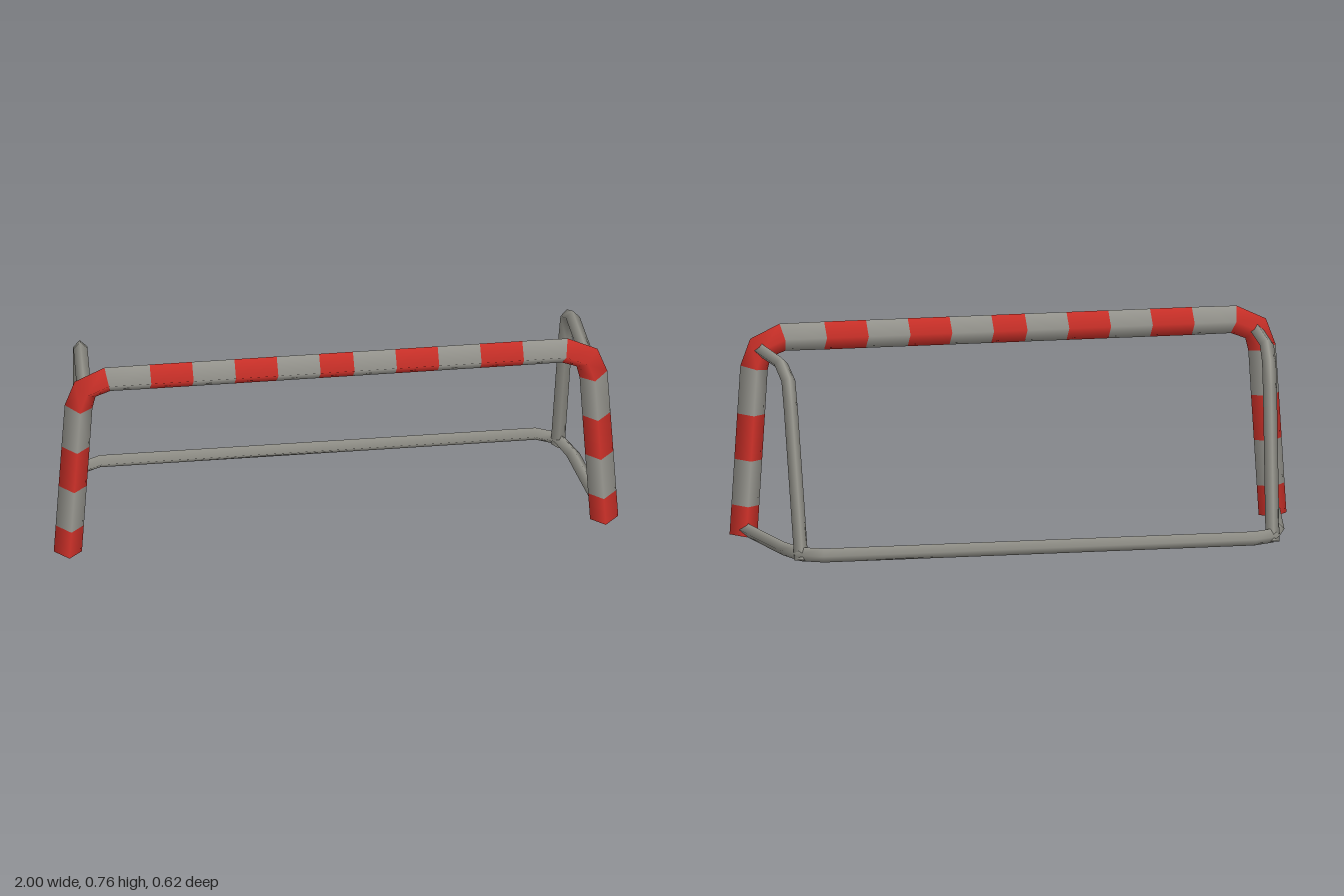
import * as THREE from 'three';

const SIDES = 4;

// Sweeps a smooth-shaded diamond section along a path; slots[i] is the material index of segment i.
function sweep(path, radius, ref, slots) {
  const pos = [], nor = [], idx = [];
  const geo = new THREE.BufferGeometry();
  const rings = path.map((p, i) => {
    const t = new THREE.Vector3();
    if (i > 0) t.add(p.clone().sub(path[i - 1]).normalize());
    if (i < path.length - 1) t.add(path[i + 1].clone().sub(p).normalize());
    t.normalize();
    const u = ref.clone().addScaledVector(t, -ref.dot(t)).normalize();
    const v = t.clone().cross(u);
    const ring = [];
    for (let j = 0; j < SIDES; j++) {
      const a = (j / SIDES) * Math.PI * 2;
      const n = u.clone().multiplyScalar(Math.cos(a)).addScaledVector(v, Math.sin(a));
      const q = p.clone().addScaledVector(n, radius);
      pos.push(q.x, q.y, q.z);
      nor.push(n.x, n.y, n.z);
      ring.push(q);
    }
    return { ring, t };
  });

  // Side walls, one group per segment
  for (let i = 0; i < path.length - 1; i++) {
    const start = idx.length;
    for (let j = 0; j < SIDES; j++) {
      const a = i * SIDES + j, b = i * SIDES + ((j + 1) % SIDES);
      idx.push(a, b, a + SIDES, b, b + SIDES, a + SIDES);
    }
    geo.addGroup(start, idx.length - start, slots ? slots[i] : 0);
  }

  // Flat end caps
  [[rings[0], -1], [rings[rings.length - 1], 1]].forEach(([{ ring, t }, dir]) => {
    const base = pos.length / 3, start = idx.length;
    ring.forEach((q) => {
      pos.push(q.x, q.y, q.z);
      nor.push(t.x * dir, t.y * dir, t.z * dir);
    });
    for (let j = 1; j < SIDES - 1; j++) {
      if (dir > 0) idx.push(base, base + j, base + j + 1);
      else idx.push(base, base + j + 1, base + j);
    }
    geo.addGroup(start, idx.length - start, 0);
  });

  geo.setAttribute('position', new THREE.Float32BufferAttribute(pos, 3));
  geo.setAttribute('normal', new THREE.Float32BufferAttribute(nor, 3));
  geo.setIndex(idx);
  return geo;
}

const V = (x, y, z) => new THREE.Vector3(x, y, z);

// Completes a half path given from the +x end towards the middle
const mirrored = (half) => [...half, ...half.slice().reverse().map((p) => V(-p.x, p.y, p.z))];

export function createModel() {
  const group = new THREE.Group();
  group.name = 'goal';
  const material = (name, color) => {
    const m = new THREE.MeshStandardMaterial({ color });
    m.name = name;
    return m;
  };
  const red = material('red paint', 0xd2322a);
  const grey = material('pale grey paint', 0x9c9b94);
  const steel = material('grey steel', 0x96958d);

  const add = (name, geo, mats) => {
    const mesh = new THREE.Mesh(geo, mats);
    mesh.name = name;
    group.add(mesh);
  };

  // Striped front frame: posts, bent corners and crossbar
  const z = 0.26;
  const half = [];
  for (const y of [0.003, 0.11, 0.273, 0.435, 0.6]) half.push(V(0.95 - (0.038 * y) / 0.6, y, z));
  half.push(V(0.889, 0.67, z));
  for (const x of [0.81, 0.66, 0.51, 0.36, 0.21, 0.06]) half.push(V(x, 0.705, z));
  const halfSlots = [0, 1, 0, 1, 0, 0, 1, 0, 1, 0, 1];
  const slots = [...halfSlots, 0, ...halfSlots.slice().reverse()];
  add('frontFrame', sweep(mirrored(half), 0.05, V(0, 0, 1), slots), [red, grey]);

  // Ground hoop running round the back
  const hoop = mirrored([
    V(0.95, 0.026, 0.26), V(0.887, 0.026, -0.13), V(0.848, 0.026, -0.245), V(0.772, 0.026, -0.285),
  ]);
  add('groundHoop', sweep(hoop, 0.025, V(0, 1, 0)), steel);

  // Bent side stays from the top corners down to the hoop
  for (const s of [1, -1]) {
    const stay = [
      V(s * 0.892, 0.665, 0.26), V(s * 0.872, 0.665, -0.018), V(s * 0.863, 0.62, -0.102),
      V(s * 0.86, 0.52, -0.132), V(s * 0.846, 0.005, -0.245),
    ];
    add(s > 0 ? 'leftStay' : 'rightStay', sweep(stay, 0.025, V(1, 0, 0)), steel);
  }
  return group;
}
